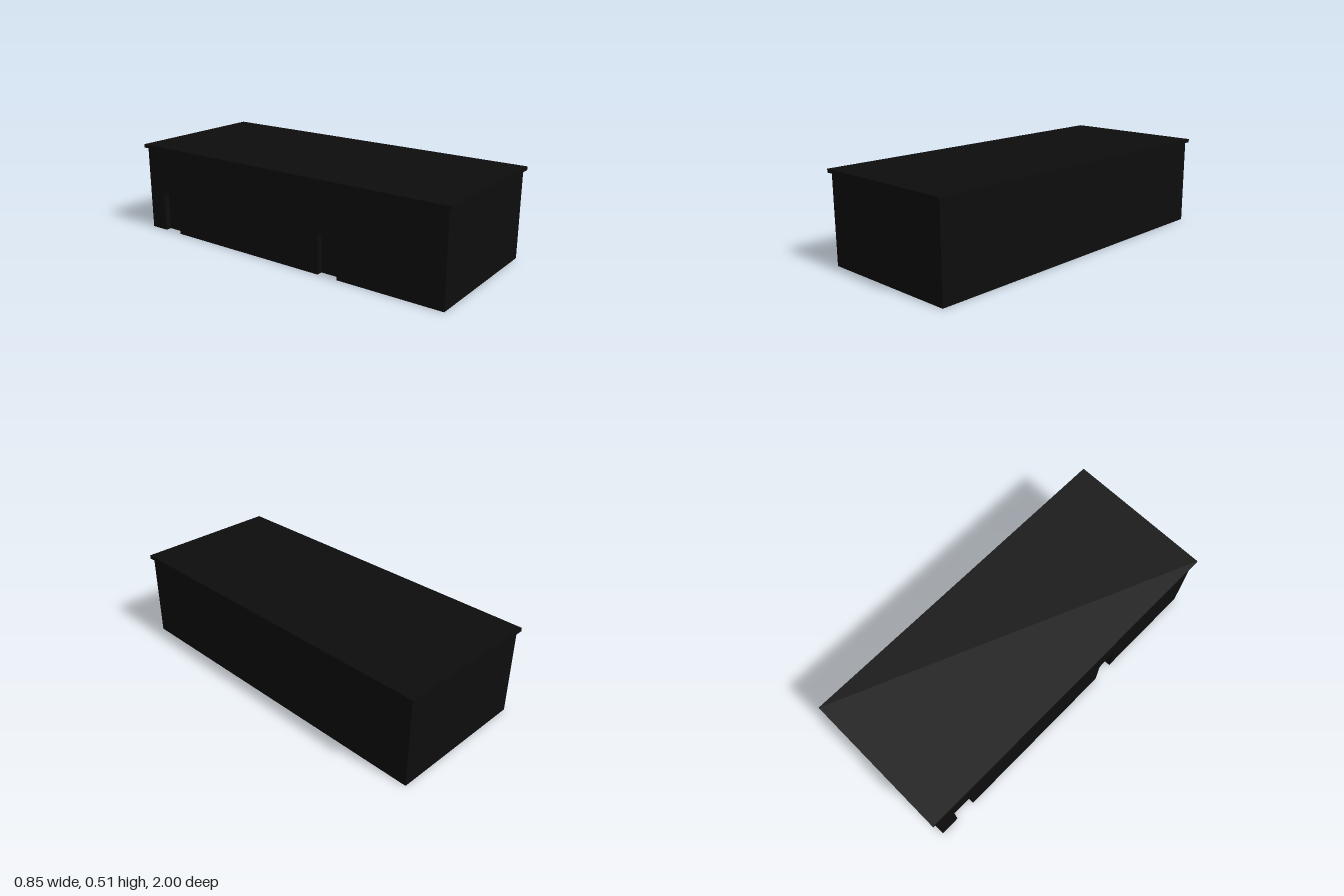
import * as THREE from 'three';

const W = 0.41, L = 0.985, H = 0.49;      // half width, half length, wall height
const DOOR = { w: 0.12, h: 0.22, depth: 0.035 };
const DOOR_Z = [-0.813, 0.323];           // door centres along the -x wall

export function createModel() {
  const group = new THREE.Group();
  const black = new THREE.MeshStandardMaterial({ color: 0x0d0d0d, side: THREE.DoubleSide });
  black.name = 'black';

  const add = (name, geo, x, y, z, ry = 0, rx = 0) => {
    const mesh = new THREE.Mesh(geo, black);
    mesh.name = name;
    mesh.position.set(x, y, z);
    mesh.rotation.set(rx, ry, 0);
    group.add(mesh);
  };

  // Overhanging roof slab
  add('roof', new THREE.BoxGeometry(0.85, 0.02, 2), 0, H + 0.01, 0);

  // Plain sheet walls, open underneath
  add('frontWall', new THREE.PlaneGeometry(2 * W, H), 0, H / 2, L);
  add('backWall', new THREE.PlaneGeometry(2 * W, H), 0, H / 2, -L, Math.PI);
  add('leftWall', new THREE.PlaneGeometry(2 * L, H), W, H / 2, 0, Math.PI / 2);

  // Wall with doorways cut from its lower edge
  const outline = new THREE.Shape();
  outline.moveTo(-L, 0);
  for (const z of DOOR_Z) {
    const a = z - DOOR.w / 2, b = z + DOOR.w / 2;
    outline.lineTo(a, 0);
    outline.lineTo(a, DOOR.h);
    outline.lineTo(b, DOOR.h);
    outline.lineTo(b, 0);
  }
  outline.lineTo(L, 0);
  outline.lineTo(L, H);
  outline.lineTo(-L, H);
  add('doorWall', new THREE.ShapeGeometry(outline), -W, 0, 0, -Math.PI / 2);

  // Recessed doors with side and top reveals
  for (const z of DOOR_Z) {
    const mid = -W + DOOR.depth / 2;
    add('door', new THREE.PlaneGeometry(DOOR.w, DOOR.h), -W + DOOR.depth, DOOR.h / 2, z, -Math.PI / 2);
    for (const s of [-1, 1]) {
      add('doorReveal', new THREE.PlaneGeometry(DOOR.depth, DOOR.h),
        mid, DOOR.h / 2, z + s * DOOR.w / 2, s > 0 ? Math.PI : 0);
    }
    add('doorLintel', new THREE.PlaneGeometry(DOOR.depth, DOOR.w), mid, DOOR.h, z, 0, Math.PI / 2);
  }
  return group;
}
